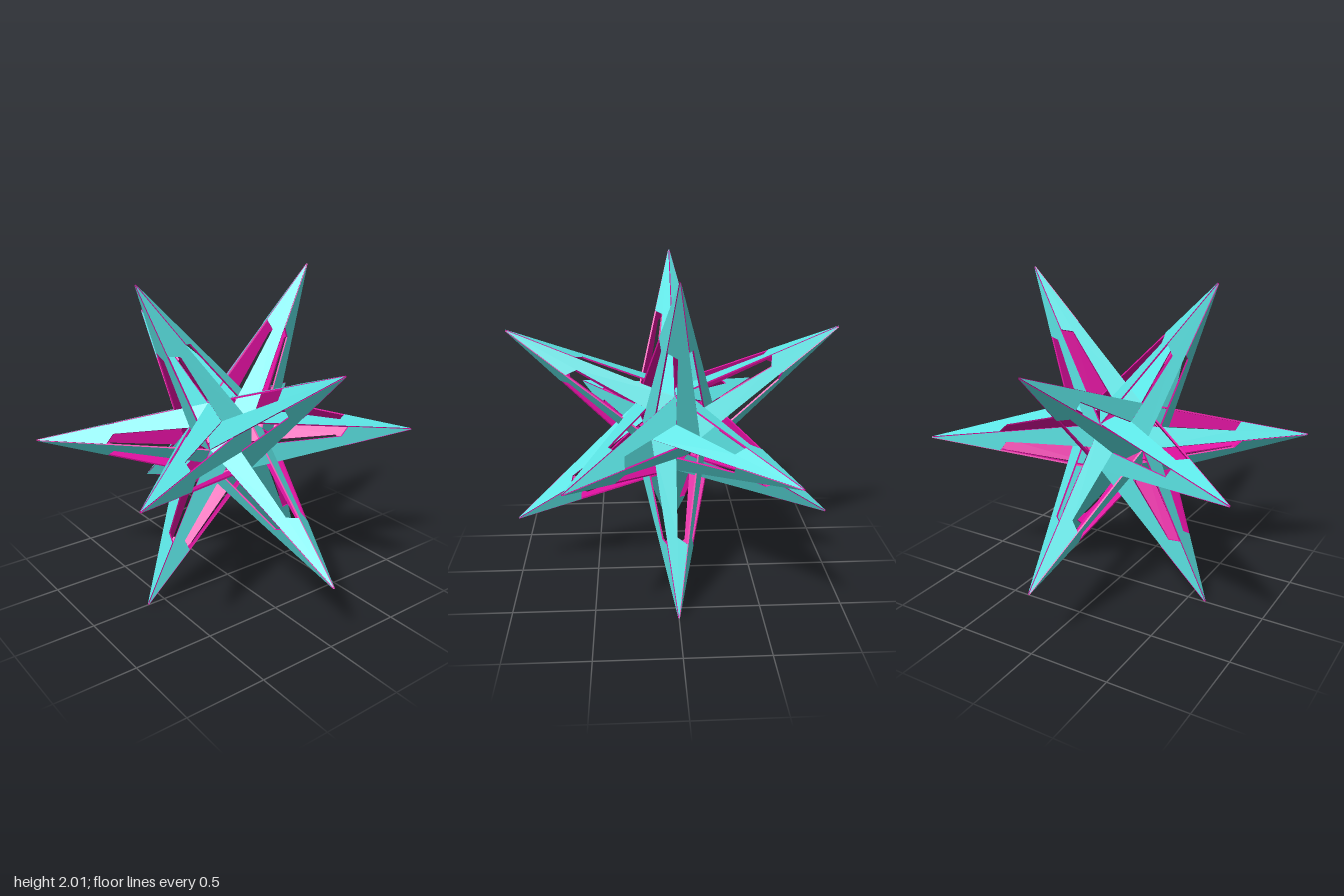
import * as THREE from 'three';

const PHI = (1 + Math.sqrt(5)) / 2;
const THICK = 0.01;    // plate thickness
const CUT_EDGE = 0.41; // window start along the spike edge
const CUT_MID = 0.45;  // window start along the plate midline

// twelve spike tips, arranged as an icosahedron
function spikeTips() {
  const tips = [], s = 1 / PHI;
  for (const i of [1, -1]) for (const j of [1, -1]) {
    tips.push(new THREE.Vector3(i, j * s, 0));
    tips.push(new THREE.Vector3(0, i, j * s));
    tips.push(new THREE.Vector3(j * s, 0, i));
  }
  return tips;
}

// the five base corners of a spike, anticlockwise seen from its tip
function baseRing(tip, tips) {
  const ring = tips.filter(p => p !== tip && p.distanceTo(tip) < 1.5);
  const n = tip.clone().normalize();
  const e1 = ring[0].clone().projectOnPlane(n).normalize();
  const e2 = n.clone().cross(e1);
  const angle = p => Math.atan2(p.dot(e2), p.dot(e1));
  return ring.sort((p, q) => angle(p) - angle(q))
    .map(p => p.clone().multiplyScalar(PHI ** -3));
}

// adds a fan of triangles around the first point
function addFan(out, pts) {
  for (let i = 1; i < pts.length - 1; i++) {
    for (const p of [pts[0], pts[i], pts[i + 1]]) out.push(p.x, p.y, p.z);
  }
}

// one plate: whole at the tip, only its right half below the window
function addPlate(tip, a, b, skin, lining) {
  const mid = a.clone().lerp(b, 0.5);
  const outline = [
    tip.clone().lerp(mid, CUT_MID), mid, b, tip, tip.clone().lerp(a, CUT_EDGE),
  ];
  const normal = a.clone().sub(tip).cross(b.clone().sub(tip)).normalize();
  const shift = d => outline.map(p => p.clone().addScaledVector(normal, d));
  const outer = shift(THICK / 2), inner = shift(-THICK / 2);
  addFan(skin, outer);
  addFan(lining, [inner[0], ...inner.slice(1).reverse()]);
  outline.forEach((_, i) => {
    const j = (i + 1) % outline.length;
    addFan(lining, [outer[i], inner[i], inner[j], outer[j]]);
  });
}

function makeMesh(name, positions, material) {
  const geo = new THREE.BufferGeometry();
  geo.setAttribute('position', new THREE.Float32BufferAttribute(positions, 3));
  geo.computeVertexNormals();
  const mesh = new THREE.Mesh(geo, material);
  mesh.name = name;
  return mesh;
}

export function createModel() {
  const model = new THREE.Group();
  model.name = 'spikedStar';
  const cyan = new THREE.MeshStandardMaterial({ color: 0x5ce6e6 });
  const magenta = new THREE.MeshStandardMaterial({ color: 0xe010a0 });
  const tips = spikeTips();

  for (const tip of tips) {
    const ring = baseRing(tip, tips);
    const skin = [], lining = [];
    ring.forEach((a, k) => addPlate(tip, a, ring[(k + 1) % 5], skin, lining));
    const spike = new THREE.Group();
    spike.name = 'spike';
    spike.add(makeMesh('spikeOuterFaces', skin, cyan));
    spike.add(makeMesh('spikeInnerFacesAndRims', lining, magenta));
    model.add(spike);
  }
  model.position.y = 1;
  return model;
}
